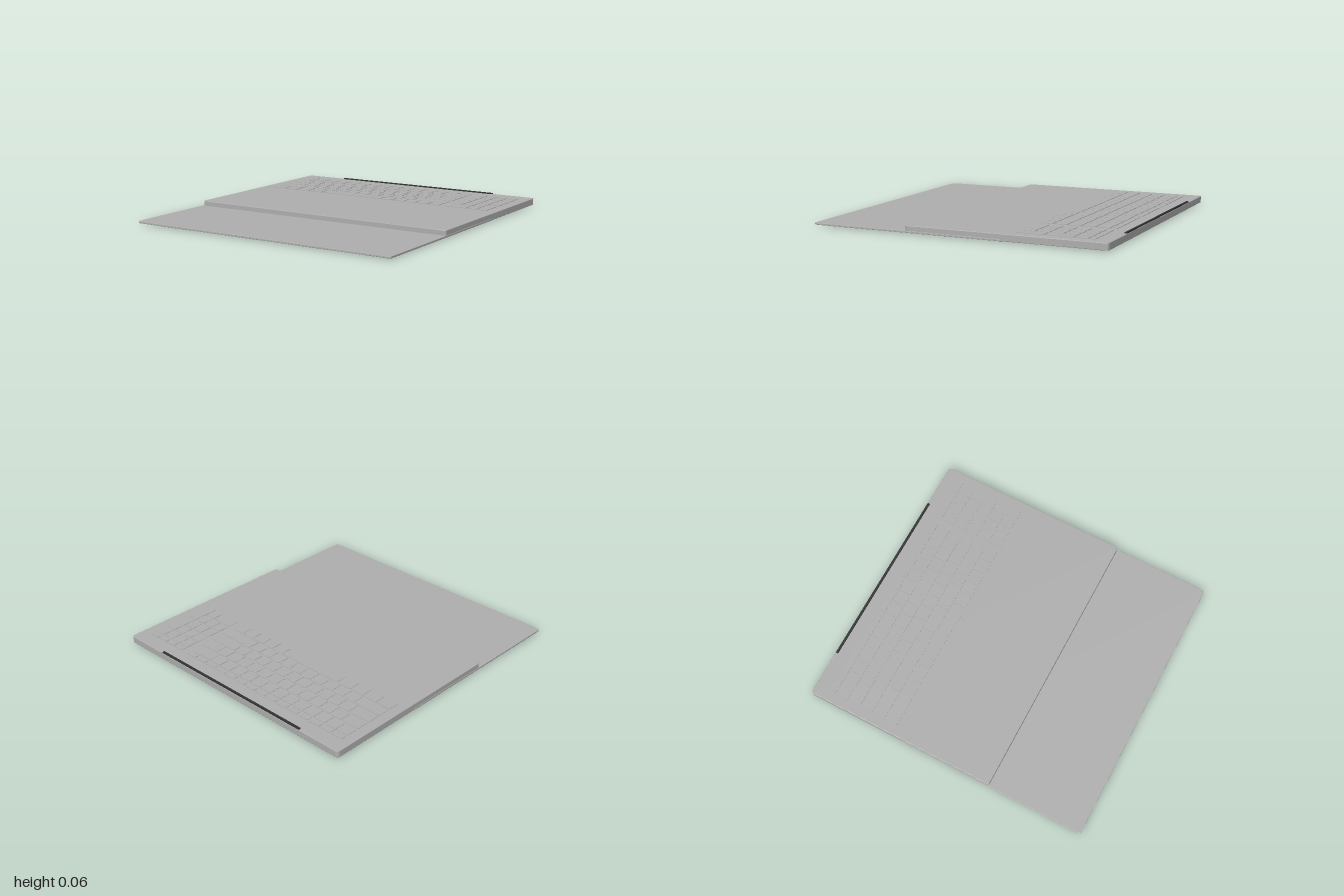
import * as THREE from 'three';

const bodyMat = new THREE.MeshStandardMaterial({ color: 0xb0b0b0 });
bodyMat.name = 'body grey';
const rubberMat = new THREE.MeshStandardMaterial({ color: 0x333333 });
rubberMat.name = 'dark rubber';

// Flat slab with rounded corners and a small bevel, spanning the given x, z and y ranges
function slab(name, x0, x1, z0, z1, y0, y1, radius, bevel, material, steps = 4) {
  const b = bevel, r = radius;
  const [l, h, bt, t] = [x0 + b, x1 - b, -z1 + b, -z0 - b];
  const s = new THREE.Shape();
  s.moveTo(l + r, bt);
  s.lineTo(h - r, bt);
  s.absarc(h - r, bt + r, r, -Math.PI / 2, 0);
  s.lineTo(h, t - r);
  s.absarc(h - r, t - r, r, 0, Math.PI / 2);
  s.lineTo(l + r, t);
  s.absarc(l + r, t - r, r, Math.PI / 2, Math.PI);
  s.lineTo(l, bt + r);
  s.absarc(l + r, bt + r, r, Math.PI, Math.PI * 1.5);
  const geo = new THREE.ExtrudeGeometry(s, {
    depth: y1 - y0 - 2 * b, curveSegments: steps,
    bevelEnabled: b > 0, bevelSize: b, bevelThickness: b, bevelSegments: 2,
  });
  geo.rotateX(-Math.PI / 2);
  geo.translate(0, y0 + b, 0);
  const mesh = new THREE.Mesh(geo, material);
  mesh.name = name;
  return mesh;
}

export function createModel() {
  const model = new THREE.Group();
  model.name = 'laptop';

  // Thick keyboard base and thin lid folded flat underneath its front
  model.add(slab('base', -0.948, 0.948, -1, 0.335, 0.009, 0.054, 0.018, 0.003, bodyMat, 6));
  model.add(slab('lid', -0.95, 0.95, -0.33, 1, 0.0085, 0.021, 0.018, 0.002, bodyMat, 6));

  // Hinge bar along the rear edge
  model.add(slab('hinge', -0.63, 0.63, -0.998, -0.982, 0.045, 0.061, 0.002, 0, rubberMat));

  // Long rubber feet
  model.add(slab('rearFoot', -0.76, 0.76, -0.957, -0.943, 0, 0.012, 0.004, 0, rubberMat));
  model.add(slab('frontFoot', -0.685, 0.685, 0.283, 0.297, 0, 0.012, 0.004, 0, rubberMat));

  // Keys
  const keys = new THREE.Group();
  keys.name = 'keyboard';
  model.add(keys);
  const gap = 0.004;
  const addKey = (x0, x1, z0, z1) => keys.add(
    slab('key', x0 + gap, x1 - gap, z0 + gap, z1 - gap, 0.052, 0.057, 0.004, 0, bodyMat, 2));

  const rowZ = [-0.898, -0.85, -0.756, -0.662, -0.569, -0.476, -0.382];
  const ones = (n) => Array(n).fill(1);
  const rows = [
    ones(15),
    [...ones(13), 2],
    [1.5, ...ones(12), 1.5],
    [1.75, ...ones(11), 2.25],
    [2.25, ...ones(10), 2.75],
    [1.2, 1.15, 1.15, 1.2, 5.3, ...ones(5)],
  ];
  const left = -0.882, unit = 0.0935;
  rows.forEach((widths, r) => {
    let x = left;
    for (const w of widths) {
      addKey(x, x + w * unit, rowZ[r], rowZ[r + 1]);
      x += w * unit;
    }
  });

  // Number pad: wide zero, and two double-height keys in the last column
  const padX = (c) => 0.563 + c * 0.0787;
  for (let r = 0; r < 6; r++) {
    for (let c = 0; c < 3; c++) {
      if (r === 5 && c === 1) continue;
      const span = r === 5 && c === 0 ? 2 : 1;
      addKey(padX(c), padX(c + span), rowZ[r], rowZ[r + 1]);
    }
  }
  for (const [a, b] of [[0, 1], [1, 2], [2, 4], [4, 6]]) addKey(padX(3), padX(4), rowZ[a], rowZ[b]);

  return model;
}
